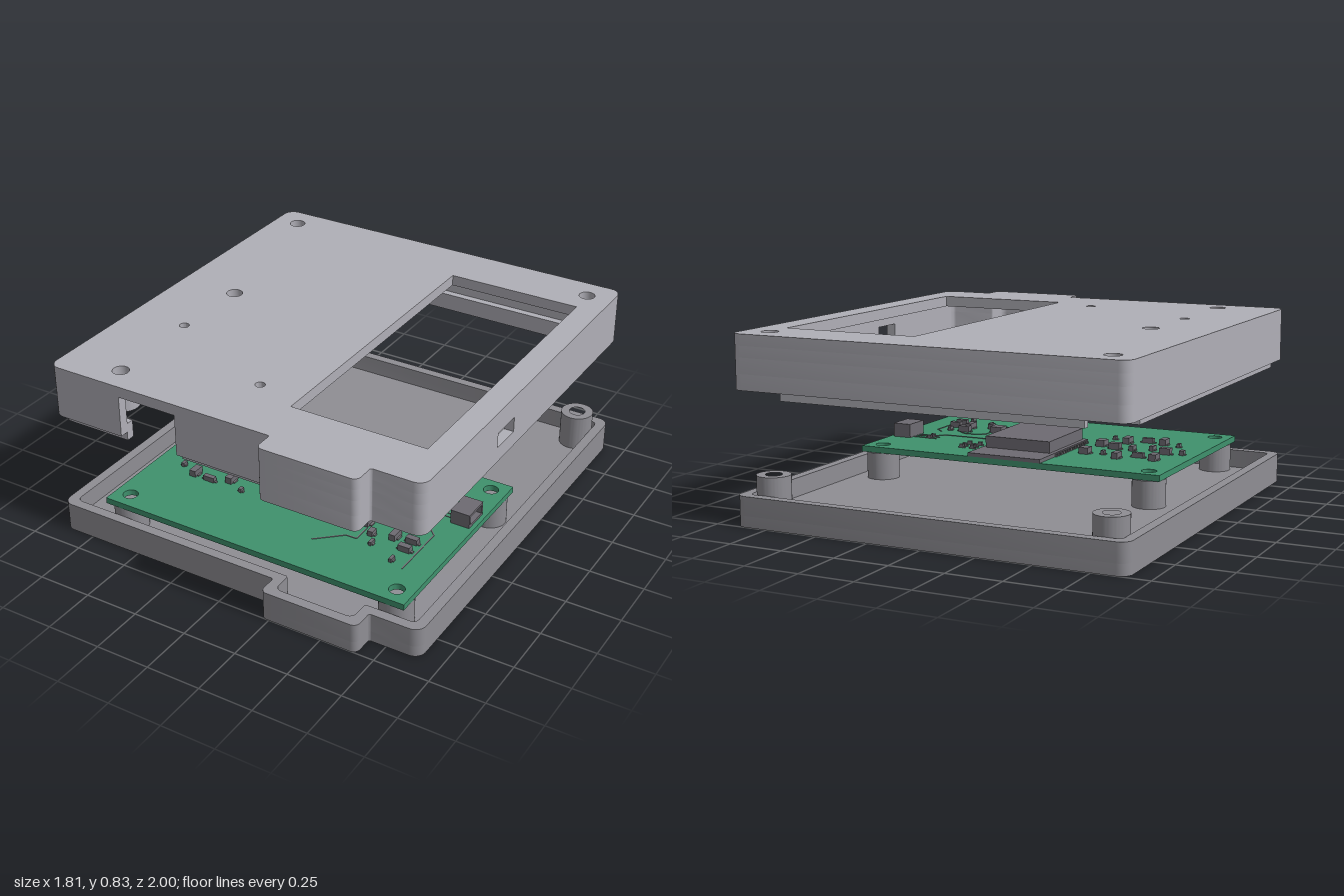
import * as THREE from 'three';
import { toCreasedNormals } from 'three/addons/utils/BufferGeometryUtils.js';

const mat = (name, color) => Object.assign(new THREE.MeshStandardMaterial({ color }), { name });

// Case plan as [x, z, corner radius], inset by d, from the front notch round the tab and back
const outline = (d) => [[-0.255, 0.9 - d], [0.21 + d, 0.9 - d, 0.01], [0.21 + d, 1 - d, 0.03],
  [0.67 - d, 1 - d, 0.03], [0.67 - d, 0.9 - d, 0.01], [0.905 - d, 0.9 - d, 0.05 - d / 2],
  [0.905 - d, 0.27], [0.905 - d, 0.12], [0.905 - d, d - 1, 0.05 - d / 2],
  [d - 0.905, d - 1, 0.05 - d / 2], [d - 0.905, 0.9 - d, 0.05 - d / 2], [-0.54, 0.9 - d]];
const OUTER = outline(0);
const INNER = outline(0.045);

// Rounds the marked right-angle corners; plan z becomes -y of the shape
function roundPath(pts) {
  const out = [];
  pts.forEach(([x, z, r], i) => {
    const p = new THREE.Vector2(x, -z);
    if (!r) { out.push(p); return; }
    const dir = (q) => new THREE.Vector2(q[0], -q[1]).sub(p).normalize();
    const a = dir(pts[(i + pts.length - 1) % pts.length]);
    const b = dir(pts[(i + 1) % pts.length]);
    const c = p.clone().addScaledVector(a, r).addScaledVector(b, r);
    for (let k = 0; k <= 6; k++) {
      const t = (k / 6) * Math.PI / 2;
      out.push(c.clone().addScaledVector(b, -r * Math.cos(t)).addScaledVector(a, -r * Math.sin(t)));
    }
  });
  return out;
}

const circle = (x, z, r) => new THREE.Path().absarc(x, -z, r, 0, Math.PI * 2, true);
const rect = (x0, x1, z0, z1) => roundPath([[x0, z0], [x0, z1], [x1, z1], [x1, z0]]);

// Extrudes a plan shape between two heights
function slab(name, points, holes, y0, y1, material) {
  const shape = new THREE.Shape(points);
  shape.holes.push(...holes);
  const g = new THREE.ExtrudeGeometry(shape, { depth: y1 - y0, bevelEnabled: false, curveSegments: 14 });
  g.rotateX(-Math.PI / 2).translate(0, y0, 0);
  const m = new THREE.Mesh(toCreasedNormals(g, 0.6), material);
  m.name = name;
  return m;
}

// Hollow round post
function post(name, x, z, y0, y1, material) {
  return slab(name, circle(x, z, 0.075).getPoints(32), [circle(x, z, 0.037)], y0, y1, material);
}

// Box from plan and height limits
function box(name, x0, x1, y0, y1, z0, z1, material) {
  const m = new THREE.Mesh(new THREE.BoxGeometry(x1 - x0, y1 - y0, z1 - z0), material);
  m.position.set((x0 + x1) / 2, (y0 + y1) / 2, (z0 + z1) / 2);
  m.name = name;
  return m;
}

function group(name, parent) {
  const g = new THREE.Group();
  g.name = name;
  parent?.add(g);
  return g;
}

export function createModel() {
  const trayGrey = mat('tray grey', 0x8f8e94);
  const lidGrey = mat('lid grey', 0xb0afb7);
  const boardGreen = mat('board green', 0x3f916d);
  const partGrey = mat('component grey', 0x6e6b72);
  const traceGrey = mat('trace grey', 0x77757a);

  const model = group('electronicsEnclosure');
  const corners = [[-0.785, -0.88], [0.785, -0.88]];
  const boardHoles = [[-0.615, -0.07], [-0.615, 0.78], [0.73, -0.07], [0.73, 0.78]];

  // Bottom tray with screw posts and board standoffs
  const tray = group('tray', model);
  tray.add(slab('trayFloor', roundPath(OUTER), [], 0, 0.05, trayGrey));
  tray.add(slab('trayWall', roundPath(OUTER), [new THREE.Path(roundPath(INNER))], 0.05, 0.135, trayGrey));
  corners.forEach(([x, z]) => tray.add(post('screwPost', x, z, 0.05, 0.215, trayGrey)));
  boardHoles.forEach(([x, z]) => tray.add(post('boardStandoff', x, z, 0.05, 0.175, trayGrey)));

  // Lid top with window and round holes
  const lid = group('lid', model);
  const openings = [new THREE.Path(rect(0.16, 0.79, -0.75, 0.665)),
    circle(-0.625, 0.31, 0.022), circle(-0.045, 0.58, 0.022)];
  [...corners, ...boardHoles.slice(0, 2)].forEach(([x, z]) => {
    openings.push(circle(x, z, 0.037));
    lid.add(post('lidPost', x, z, 0.67, 0.78, lidGrey));
  });
  lid.add(slab('lidTop', roundPath(OUTER), openings, 0.78, 0.83, lidGrey));

  // Lid walls in bands, open at the front notch and the side port
  const wall = (i, j, y0, y1) => {
    const [outside, inside] = [OUTER, INNER].map((pts) => roundPath(pts.slice(i, j)));
    lid.add(slab('lidWall', [...outside, ...inside.reverse()], [], y0, y1, lidGrey));
  };
  wall(0, 12, 0.59, 0.66);
  wall(0, 7, 0.66, 0.73);
  wall(7, 12, 0.66, 0.73);
  wall(0, 12, 0.73, 0.78);

  // Locating lip inside the lid walls
  [[-0.86, -0.54, 0.82, 0.86], [-0.255, 0.21, 0.82, 0.86], [-0.86, -0.82, -0.79, 0.82],
    [0.818, 0.86, -0.79, 0.7], [-0.7, 0.69, -0.955, -0.92]]
    .forEach(([x0, x1, z0, z1]) => lid.add(box('lidLip', x0, x1, 0.55, 0.63, z0, z1, lidGrey)));

  // Circuit board
  const board = group('circuitBoard', model);
  board.add(slab('boardPlate', rect(-0.69, 0.805, -0.14, 0.858),
    boardHoles.map(([x, z]) => circle(x, z, 0.034)), 0.177, 0.205, boardGreen));

  // Radio module with shield can and edge pads
  board.add(box('moduleBase', -0.12, 0.243, 0.205, 0.222, -0.14, 0.39, partGrey));
  board.add(box('moduleShield', -0.1, 0.225, 0.222, 0.275, 0.005, 0.37, partGrey));
  for (let i = 0; i < 14; i++) {
    const z = 0.02 + i * 0.026;
    [-0.13, 0.235].forEach((x) => board.add(box('modulePad', x, x + 0.018, 0.205, 0.217, z, z + 0.013, traceGrey)));
  }
  for (let i = 0; i < 11; i++) {
    const x = -0.08 + i * 0.027;
    board.add(box('modulePad', x, x + 0.013, 0.205, 0.217, 0.385, 0.4, traceGrey));
  }

  // Side port connector, hollow toward the side wall
  board.add(box('portBack', 0.695, 0.735, 0.205, 0.27, 0.122, 0.25, partGrey));
  [0.205, 0.258].forEach((y) => board.add(box('portShell', 0.735, 0.785, y, y + 0.012, 0.122, 0.25, partGrey)));
  [0.122, 0.238].forEach((z) => board.add(box('portShell', 0.735, 0.785, 0.217, 0.258, z, z + 0.012, partGrey)));

  // Small components with solder pads; height follows the footprint
  const component = (x, z, w, d) => {
    const h = Math.min(0.03, 0.008 + Math.min(w, d) * 0.7);
    const p = w * 0.6;
    board.add(box('component', x - w / 2, x + w / 2, 0.205, 0.205 + h, z - d / 2, z + d / 2, partGrey));
    [x - p, x + p].forEach((c) => board.add(box('componentPad', c - 0.005, c + 0.005,
      0.205, 0.211, z - d / 4, z + d / 4, traceGrey)));
  };
  component(0.38, 0.435, 0.06, 0.06);
  component(0.545, 0.465, 0.03, 0.065);
  component(0.535, 0.38, 0.055, 0.032);
  [0.465, 0.53].forEach((z) => component(0.628, z, 0.055, 0.028));
  component(0.45, 0.5, 0.025, 0.035);
  component(0.317, 0.435, 0.022, 0.038);
  [[0.617, 0.385], [0.483, 0.56], [0.615, 0.62]].forEach(([x, z]) => component(x, z, 0.014, 0.033));
  [0.025, 0.055, 0.105].forEach((z) => [0.305, 0.36].forEach((x) => component(x, z, 0.02, 0.014)));
  [0.155, 0.19].forEach((z) => component(0.605, z, 0.02, 0.012));
  component(-0.625, 0.31, 0.02, 0.03);

  // Loose rows of components beside the module
  for (let i = 0; i < 15; i++) {
    const x = -0.55 + (i % 5) * 0.085;
    const z = 0.15 + Math.floor(i / 5) * 0.17 + 0.03 * Math.sin(i * 2.3);
    component(x, z, 0.035 + 0.02 * Math.sin(i * 1.7), 0.04 + 0.018 * Math.cos(i * 2.9));
  }

  // Copper traces as thin strips along bent paths
  const traces = [[[0.25, 0.255], [0.57, 0.255], [0.61, 0.215], [0.7, 0.215]],
    [[0.41, 0.4], [0.41, 0.36], [0.45, 0.33], [0.51, 0.33], [0.55, 0.36]],
    [[0.16, 0.45], [0.24, 0.45], [0.33, 0.36]], [[0.16, 0.485], [0.3, 0.485]],
    [[0.25, 0.66], [0.36, 0.56], [0.41, 0.56], [0.41, 0.47]],
    [[0.68, 0.65], [0.68, 0.37], [0.64, 0.33]],
    [[0.57, 0.155], [0.7, 0.155]], [[0.57, 0.19], [0.7, 0.19]]];
  traces.forEach((path) => path.slice(1).forEach(([x1, z1], i) => {
    const [x0, z0] = path[i];
    const strip = box('trace', 0, Math.hypot(x1 - x0, z1 - z0), 0, 0.003, 0, 0.005, traceGrey);
    strip.position.set((x0 + x1) / 2, 0.206, (z0 + z1) / 2);
    strip.rotation.y = -Math.atan2(z1 - z0, x1 - x0);
    board.add(strip);
  }));
  return model;
}
